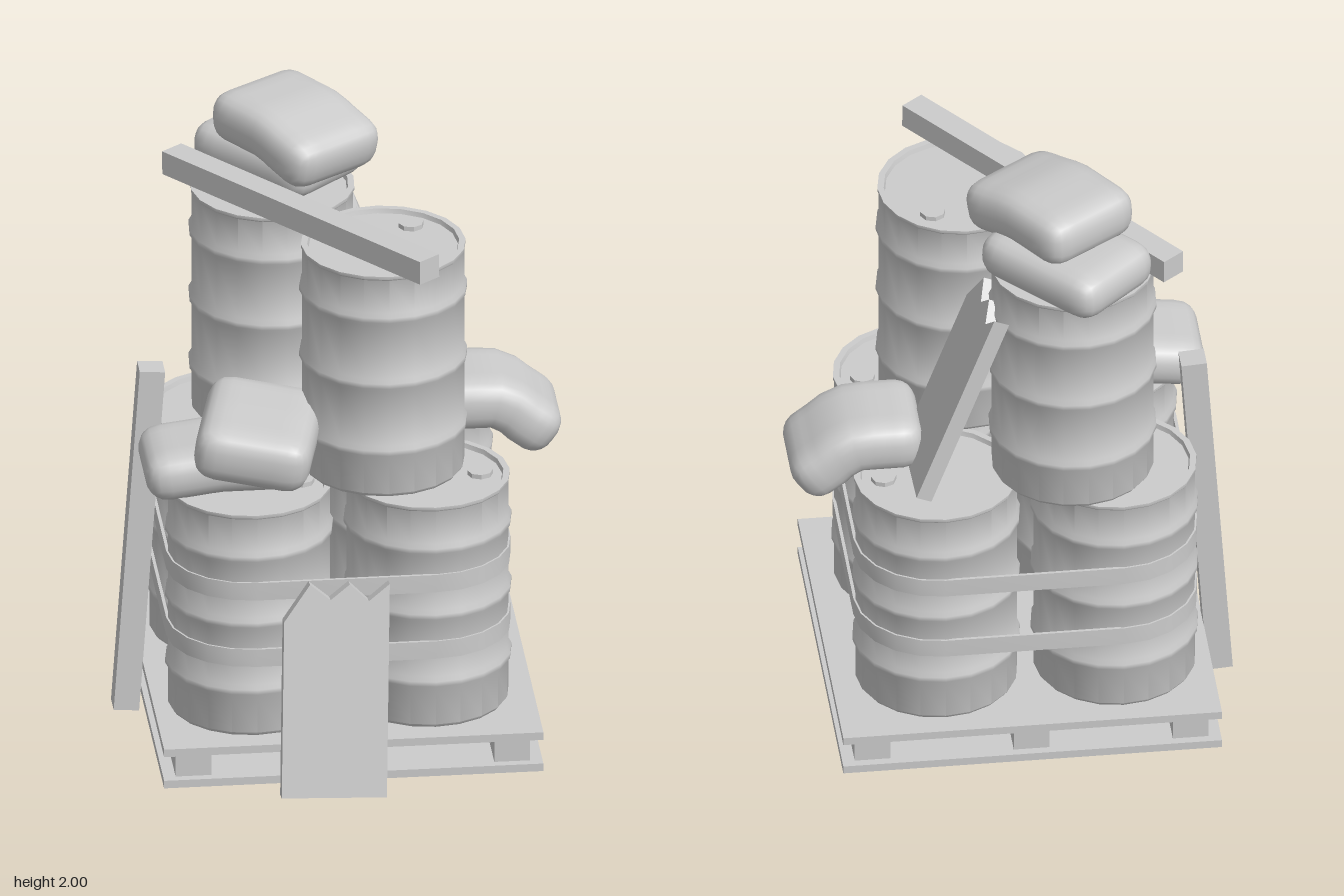
import * as THREE from 'three';
import { mergeVertices, toCreasedNormals } from 'three/addons/utils/BufferGeometryUtils.js';

const material = new THREE.MeshStandardMaterial({ color: 0xcccccc });

function add(parent, name, geometry, position, rotation = [0, 0, 0]) {
  const mesh = new THREE.Mesh(geometry, material);
  mesh.name = name;
  mesh.position.set(...position);
  mesh.rotation.set(...rotation, 'YXZ');
  parent.add(mesh);
  return mesh;
}

// Drum outline: rounded foot, three rolling hoops, raised rim and sunken lid
function drumGeometry() {
  const r = 0.254, h = 0.765;
  const pts = [[0, 0], [0.245, 0], [r, 0.012]];
  for (const y of [0.155, 0.387, 0.615]) {
    pts.push([r, y - 0.022], [r + 0.009, y - 0.008], [r + 0.009, y + 0.008], [r, y + 0.022]);
  }
  pts.push([r, h - 0.015], [r + 0.004, h - 0.01], [r + 0.004, h], [r - 0.016, h], [r - 0.02, h - 0.015], [0, h - 0.015]);
  const lathe = new THREE.LatheGeometry(pts.map(p => new THREE.Vector2(...p)), 20);
  return toCreasedNormals(lathe, 0.7);
}

// Band wrapped tightly around the four lower drums
function strapGeometry(height) {
  const outline = (r) => {
    const pts = [];
    for (let corner = 0; corner < 4; corner++) {
      const sx = corner === 0 || corner === 3 ? 1 : -1;
      const sy = corner < 2 ? 1 : -1;
      for (let i = 0; i <= 5; i++) {
        const a = (corner + i / 5) * Math.PI / 2;
        pts.push(new THREE.Vector2(sx * 0.28 + r * Math.cos(a), sy * 0.275 + r * Math.sin(a)));
      }
    }
    return pts;
  };
  const shape = new THREE.Shape(outline(0.26));
  shape.holes.push(new THREE.Path(outline(0.25)));
  const geo = new THREE.ExtrudeGeometry(shape, { depth: height, bevelEnabled: false });
  geo.rotateX(-Math.PI / 2);
  return toCreasedNormals(geo, 0.6);
}

// Board with a splintered top end, standing on y = 0
function brokenBoardGeometry() {
  const pts = [[-0.165, 0], [0.165, 0], [0.165, 0.685], [0.1, 0.63], [0.04, 0.685], [-0.02, 0.635], [-0.085, 0.685], [-0.165, 0.565]];
  const shape = new THREE.Shape(pts.map(p => new THREE.Vector2(...p)));
  const geo = new THREE.ExtrudeGeometry(shape, { depth: 0.05, bevelEnabled: false });
  return geo.translate(0, 0, -0.025);
}

// Stuffed sack: rounded block whose +x half sags downward by the bend angle
function sackGeometry(length, height, width, bend) {
  const r = 0.07;
  const half = new THREE.Vector3(length / 2, height / 2, width / 2);
  const inner = half.clone().subScalar(r);
  const outer = inner.clone().negate();
  let geo = new THREE.BoxGeometry(length, height, width, 12, 6, 10);
  geo.deleteAttribute('uv');
  geo.deleteAttribute('normal');
  geo = mergeVertices(geo);
  const pos = geo.attributes.position;
  const p = new THREE.Vector3(), q = new THREE.Vector3();
  for (let i = 0; i < pos.count; i++) {
    p.fromBufferAttribute(pos, i);
    q.copy(p).clamp(outer, inner);
    p.sub(q).setLength(r).add(q);
    const t = THREE.MathUtils.clamp((p.x + 0.03) / 0.08, 0, 1);
    const a = bend * t, y = p.y + half.y;
    pos.setXYZ(i,
      p.x * Math.cos(a) + y * Math.sin(a),
      y * Math.cos(a) - p.x * Math.sin(a),
      p.z);
  }
  geo.computeVertexNormals();
  return geo;
}

export function createModel() {
  const model = new THREE.Group();
  model.name = 'drumStack';

  // Pallet: two decks on three runners
  const pallet = new THREE.Group();
  pallet.name = 'pallet';
  pallet.position.set(0.015, 0, -0.06);
  model.add(pallet);
  const deck = new THREE.BoxGeometry(1.19, 0.026, 1.19);
  add(pallet, 'bottomDeck', deck, [0, 0.049, 0]);
  add(pallet, 'topDeck', deck, [0, 0.157, 0]);
  const runner = new THREE.BoxGeometry(0.112, 0.083, 1.135);
  for (const x of [-0.5, 0, 0.5]) add(pallet, 'runner', runner, [x, 0.103, 0]);

  // Drums: four below, two on top, each with a bung in the lid
  const drumGeo = drumGeometry();
  const bungGeo = toCreasedNormals(new THREE.CylinderGeometry(0.04, 0.04, 0.02, 8), 0.5);
  const drums = [
    [0.28, 0.17, 0.215, 0], [-0.28, 0.17, 0.215, 0],
    [0.28, 0.17, -0.335, 0], [-0.28, 0.17, -0.335, 0],
    [0.15, 0.935, 0.13, 0.915], [-0.15, 0.935, -0.325, 0.4],
  ];
  for (const [x, y, z, turn] of drums) {
    const drum = new THREE.Group();
    drum.name = 'drum';
    drum.position.set(x, y, z);
    drum.rotation.y = turn;
    add(drum, 'drumBody', drumGeo, [0, 0, 0]);
    add(drum, 'bung', bungGeo, [0.165, 0.755, 0]);
    model.add(drum);
  }

  // Straps
  const strap = strapGeometry(0.06);
  for (const y of [0.413, 0.643]) add(model, 'strap', strap, [0, y, -0.06]);

  // Broken boards leaning on the drums
  const board = brokenBoardGeometry();
  add(model, 'frontBoard', board, [-0.06, 0.036, 0.645], [-0.21, 0, -0.035]);
  add(model, 'sideBoard', board, [0.34, 0.945, -0.335], [-0.37, Math.PI / 2, 0.035]);

  // Timber post at the right side and beam lying across the upper drums
  add(model, 'post', new THREE.BoxGeometry(0.08, 1.17, 0.08), [-0.59, 0.586, -0.145], [0, 0, -0.07]);
  add(model, 'beam', new THREE.BoxGeometry(0.083, 0.078, 1.157), [-0.096, 1.748, 0.007], [-0.015, 0.664, 0]);

  // Sacks: [name, length, height, width, bend, position, rotation]
  const sacks = [
    ['lowerTopSack', 0.47, 0.155, 0.35, 0, [-0.12, 1.7, -0.42], [0, -0.83, 0]],
    ['upperTopSack', 0.44, 0.17, 0.36, 0.25, [-0.085, 1.83, -0.31], [0, -0.97, 0]],
    ['lowerRightSack', 0.47, 0.155, 0.335, 0.12, [-0.37, 0.94, 0.185], [0, Math.PI, 0]],
    ['upperRightSack', 0.46, 0.18, 0.365, 0.05, [-0.265, 1.03, 0.255], [-0.13, -1.79, 0]],
    ['leftSack', 0.38, 0.17, 0.335, 0.65, [0.505, 0.94, -0.185], [0, 0, 0]],
  ];
  for (const [name, l, h, w, bend, position, rotation] of sacks) {
    add(model, name, sackGeometry(l, h, w, bend), position, rotation);
  }
  return model;
}
